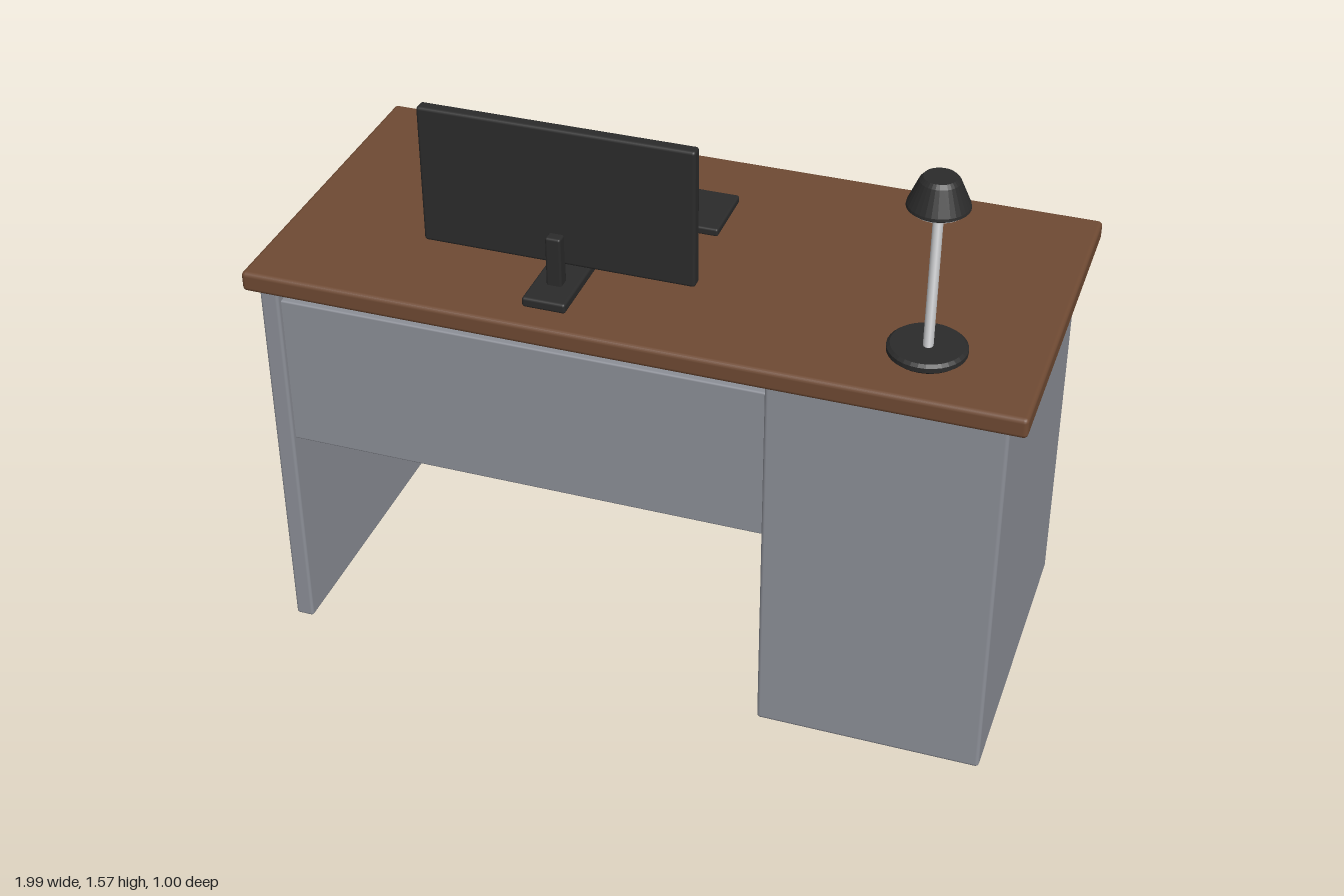
import * as THREE from 'three';
import { RoundedBoxGeometry } from 'three/addons/geometries/RoundedBoxGeometry.js';

const mat = (name, color) => new THREE.MeshStandardMaterial({ name, color });

export function createModel() {
  const wood = mat('wood', 0x6f4a33);
  const grey = mat('grey panel', 0x8c8f97);
  const black = mat('black plastic', 0x2b2b2b);
  const metal = mat('brushed metal', 0xb9babc);
  const blue = mat('screen blue', 0x2f78b8);

  const desk = new THREE.Group();
  desk.name = 'desk';

  const add = (name, geometry, material, parent = desk) => {
    const mesh = new THREE.Mesh(geometry, material);
    mesh.name = name;
    parent.add(mesh);
    return mesh;
  };

  // Softly edged box given by its min and max on each axis
  const box = (name, [x0, x1], [y0, y1], [z0, z1], material, bevel, parent) => {
    const mesh = add(name, new RoundedBoxGeometry(x1 - x0, y1 - y0, z1 - z0, 2, bevel), material, parent);
    mesh.position.set((x0 + x1) / 2, (y0 + y1) / 2, (z0 + z1) / 2);
    return mesh;
  };

  // Round bar between two points
  const rod = (name, from, to, radius, material, parent) => {
    const a = new THREE.Vector3(...from);
    const b = new THREE.Vector3(...to);
    const dir = b.clone().sub(a);
    const mesh = add(name, new THREE.CylinderGeometry(radius, radius, dir.length(), 16), material, parent);
    mesh.position.copy(a).add(b).multiplyScalar(0.5);
    mesh.quaternion.setFromUnitVectors(new THREE.Vector3(0, 1, 0), dir.normalize());
    return mesh;
  };

  const group = (name) => {
    const g = new THREE.Group();
    g.name = name;
    desk.add(g);
    return g;
  };

  // Desk body
  box('desktop', [-0.997, 0.997], [1.07, 1.125], [-0.442, 0.497], wood, 0.012);
  box('sidePanel', [-0.97, -0.92], [0, 1.07], [-0.402, 0.46], grey, 0.008);
  box('pedestal', [0.358, 0.95], [0, 1.07], [-0.402, 0.46], grey, 0.01);
  box('modestyPanel', [-0.925, 0.36], [0.597, 1.025], [0.41, 0.445], grey, 0.005);

  // Three drawers with bar handles
  [0.09, 0.422, 0.755].forEach((y) => {
    const drawer = group('drawer');
    box('drawerFront', [0.38, 0.93], [y, y + 0.285], [-0.43, -0.4], grey, 0.008, drawer);
    const hy = y + 0.215;
    for (const x of [0.553, 0.757]) {
      rod('handlePost', [x, hy, -0.425], [x, hy, -0.487], 0.011, metal, drawer);
    }
    rod('handleBar', [0.542, hy, -0.487], [0.768, hy, -0.487], 0.013, metal, drawer);
  });

  // Monitor, with its screen facing the drawer side
  const monitor = group('monitor');
  box('monitorBase', [-0.273, -0.16], [1.125, 1.152], [0.18, 0.42], black, 0.007, monitor);
  box('monitorNeck', [-0.237, -0.197], [1.14, 1.285], [0.308, 0.345], black, 0.006, monitor);
  box('monitorCase', [-0.57, 0.138], [1.2, 1.572], [0.283, 0.318], black, 0.008, monitor);
  const screen = add('screen', new THREE.BoxGeometry(0.665, 0.325, 0.008), blue, monitor);
  screen.position.set(-0.216, 1.386, 0.281);

  // Keyboard
  box('keyboard', [-0.515, 0.08], [1.125, 1.147], [-0.23, -0.043], black, 0.006);

  // Desk lamp: turned base, leaning arm, conical shade
  const lamp = group('lamp');
  const turned = (name, points, x, z, material) => {
    const profile = points.map(([r, y]) => new THREE.Vector2(r, y));
    const geometry = new THREE.LatheGeometry(profile, 32).toNonIndexed();
    geometry.computeVertexNormals();
    const mesh = add(name, geometry, material, lamp);
    mesh.position.set(x, 0, z);
    return mesh;
  };
  turned('lampBase', [[0, 1.125], [0.09, 1.125], [0.098, 1.132], [0.098, 1.144], [0.09, 1.151], [0, 1.151]],
    0.711, 0.298, black);
  rod('lampArm', [0.714, 1.145, 0.306], [0.687, 1.45, 0.155], 0.013, metal, lamp);
  turned('lampShade', [[0, 1.427], [0.07, 1.427], [0.078, 1.433], [0.077, 1.44], [0.05, 1.502], [0.041, 1.512], [0, 1.512]],
    0.682, 0.138, black);
  // Pale diffuser under the shade
  const diffuser = add('lampDiffuser', new THREE.CylinderGeometry(0.066, 0.066, 0.006, 32), metal, lamp);
  diffuser.position.set(0.682, 1.426, 0.138);

  return desk;
}
